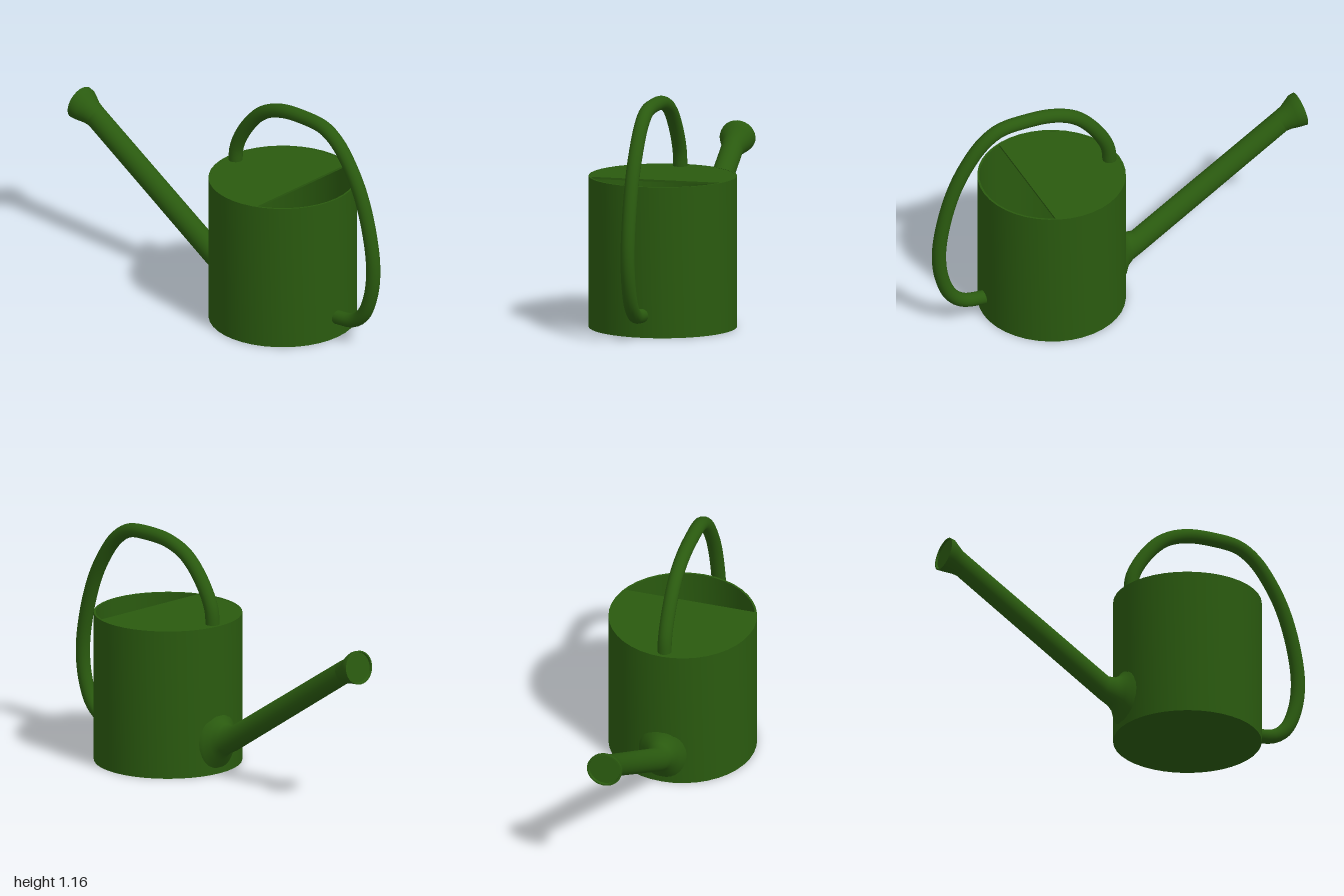
import * as THREE from 'three';
import { toCreasedNormals } from 'three/addons/utils/BufferGeometryUtils.js';

const R = 0.365, H = 0.75, CZ = 0.36, WALL = 0.01, LID_EDGE = 0.13;

// Skin over elliptical rings, each given as [topZ, topY, bottomZ, bottomY, halfWidth]
function loft(rings, sides) {
  const pos = [], index = [];
  rings.forEach(([tz, ty, bz, by, w], i) => {
    const cz = (tz + bz) / 2, cy = (ty + by) / 2;
    for (let j = 0; j < sides; j++) {
      const a = (j / sides) * Math.PI * 2, c = Math.cos(a), s = Math.sin(a);
      pos.push(w * c, cy + (ty - cy) * s, cz + (tz - cz) * s);
      if (i === 0) continue;
      const k = (j + 1) % sides, p = (i - 1) * sides, q = i * sides;
      index.push(p + j, q + j, p + k, p + k, q + j, q + k);
    }
  });
  const geo = new THREE.BufferGeometry();
  geo.setAttribute('position', new THREE.Float32BufferAttribute(pos, 3));
  geo.setIndex(index);
  return toCreasedNormals(geo, 0.7);
}

export function createModel() {
  const group = new THREE.Group();
  const paint = new THREE.MeshStandardMaterial({ color: 0x2a5a0f, side: THREE.DoubleSide });
  const add = (name, geo) => {
    const mesh = new THREE.Mesh(geo, paint);
    mesh.name = name;
    group.add(mesh);
    return mesh;
  };

  // Hollow can: floor, outer wall, rim, inner wall, inner floor
  const profile = [[0, 0], [R, 0], [R, H], [R - WALL, H], [R - WALL, WALL], [0, WALL]]
    .map(([x, y]) => new THREE.Vector2(x, y));
  add('body', toCreasedNormals(new THREE.LatheGeometry(profile, 40), 0.6)).position.z = CZ;

  // Lid covering all but the front segment of the opening
  const lidR = R - WALL / 2, a = Math.asin(LID_EDGE / lidR);
  const lidShape = new THREE.Shape();
  lidShape.absarc(0, 0, lidR, -a, Math.PI + a, false);
  lidShape.closePath();
  const lid = new THREE.ExtrudeGeometry(lidShape, { depth: WALL, bevelEnabled: false, curveSegments: 32 });
  lid.rotateX(-Math.PI / 2);
  add('lid', lid).position.set(0, H - WALL - 0.001, CZ);

  // Looping handle from the lid over to the lower front wall
  const handlePath = new THREE.CatmullRomCurve3([
    [0.045, 0.72], [0.058, 0.83], [0.13, 0.96], [0.23, 1.06], [0.35, 1.109],
    [0.5, 1.121], [0.64, 1.107], [0.73, 1.05], [0.81, 0.95], [0.88, 0.82],
    [0.937, 0.64], [0.965, 0.45], [0.95, 0.3], [0.9, 0.18], [0.83, 0.125], [0.71, 0.108],
  ].map(([z, y]) => new THREE.Vector3(-0.007 * Math.max(0, z), y, z)));
  add('handle', new THREE.TubeGeometry(handlePath, 72, 0.035, 16));

  // Flared base and straight spout
  add('spout', loft([
    [0.02, 0.34, 0.02, 0.0, 0.125],
    [0.0, 0.3, 0.0, 0.02, 0.11],
    [-0.018, 0.273, -0.025, 0.075, 0.085],
    [-0.045, 0.257, -0.06, 0.107, 0.066],
    [-0.085, 0.254, -0.112, 0.133, 0.056],
    [-0.85, 0.738, -0.9, 0.637, 0.055],
  ], 28));

  // Sprinkler head with a slightly sunken face
  add('sprinklerHead', loft([
    [-0.85, 0.738, -0.9, 0.637, 0.055],
    [-0.893, 0.763, -0.922, 0.642, 0.062],
    [-0.925, 0.79, -0.95, 0.646, 0.078],
    [-0.945, 0.808, -0.97, 0.648, 0.087],
    [-0.968, 0.815, -0.997, 0.65, 0.089],
    [-0.97, 0.808, -0.996, 0.657, 0.081],
    [-0.96, 0.806, -0.986, 0.659, 0.079],
    [-0.973, 0.7325, -0.973, 0.7325, 0],
  ], 28));

  return group;
}
